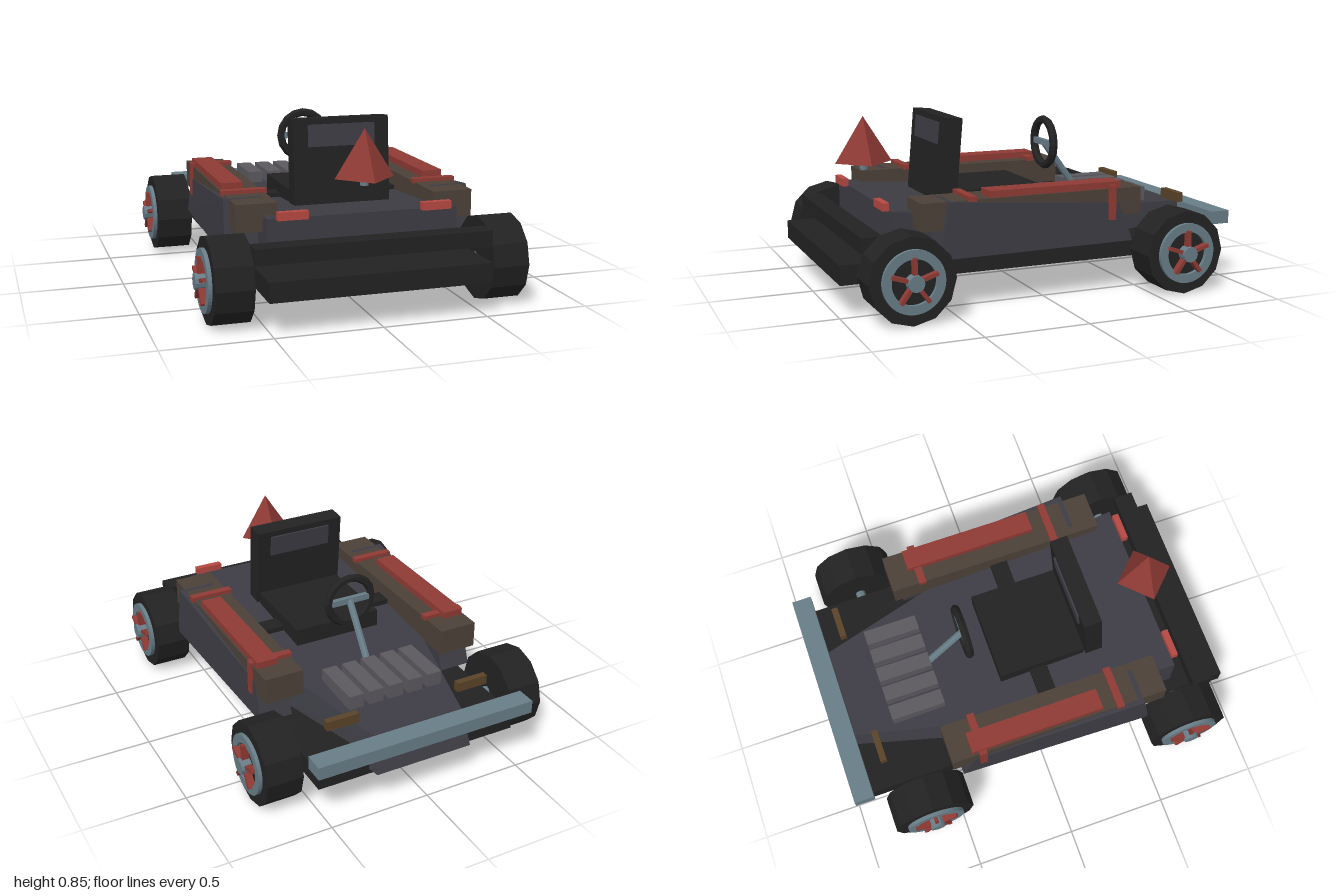
import * as THREE from 'three';
import { ConvexGeometry } from 'three/addons/geometries/ConvexGeometry.js';

const mat = (name, color) => {
  const m = new THREE.MeshStandardMaterial({ color, flatShading: true });
  m.name = name;
  return m;
};

export function createModel() {
  const black = mat('black rubber', 0x222222);
  const slate = mat('dark slate', 0x3d3c44);
  const brown = mat('brown', 0x4c4138);
  const amber = mat('amber brown', 0x5a4328);
  const red = mat('dull red', 0x8f3a34);
  const lamp = mat('lamp red', 0xb54842);
  const steel = mat('blue steel', 0x687d88);
  const vent = mat('vent grey', 0x5b595f);

  const model = new THREE.Group();
  model.name = 'buggy';

  const add = (name, geometry, material, parent = model) => {
    const mesh = new THREE.Mesh(geometry, material);
    mesh.name = name;
    parent.add(mesh);
    return mesh;
  };
  // Box given by its limits on each axis
  const box = (name, material, [x0, x1], [y0, y1], [z0, z1], parent = model) => {
    const mesh = add(name, new THREE.BoxGeometry(x1 - x0, y1 - y0, z1 - z0), material, parent);
    mesh.position.set((x0 + x1) / 2, (y0 + y1) / 2, (z0 + z1) / 2);
    return mesh;
  };
  // Box on one side of the car, mirrored by s
  const sideBox = (name, material, s, x, y, z) =>
    box(name, material, s > 0 ? x : [-x[1], -x[0]], y, z);
  const hull = (name, material, points) =>
    add(name, new ConvexGeometry(points.map(p => new THREE.Vector3(...p))), material);

  // Floor pan and bumpers
  box('floor', black, [-0.52, 0.52], [0.157, 0.25], [-0.91, 1]);
  box('darkBumper', black, [-0.56, 0.56], [0.3, 0.375], [0.81, 0.91]);
  box('steelBumper', steel, [-0.565, 0.565], [0.285, 0.35], [-1, -0.9]);

  // Central deck tapering into the sloped nose
  const deckPoints = [];
  for (const s of [1, -1]) {
    deckPoints.push(
      [s * 0.455, 0.46, 0.735], [s * 0.38, 0.389, -0.32], [s * 0.235, 0.35, -0.895],
      [s * 0.46, 0.25, 0.735], [s * 0.41, 0.25, -0.32], [s * 0.25, 0.18, -0.965]);
  }
  hull('deck', slate, deckPoints);

  // Side pods, luggage boxes, straps and lamps
  for (const s of [1, -1]) {
    const pod = [];
    for (const [y, z, outer] of [[0.25, 0.555, 0.61], [0.512, 0.51, 0.603], [0.44, -0.37, 0.577], [0.25, -0.44, 0.582]]) {
      pod.push([s * 0.42, y, z], [s * outer, y, z]);
    }
    hull('sidePod', slate, pod);
    sideBox('sideBox', brown, s, [0.38, 0.575], [0.38, 0.51], [-0.485, 0.635]);
    sideBox('rolledMat', red, s, [0.46, 0.565], [0.505, 0.543], [-0.38, 0.3]);
    for (const z of [-0.328, 0.39]) {
      sideBox('strap', red, s, [0.37, 0.587], [0.505, 0.528], [z - 0.019, z + 0.019]);
      sideBox('strapEnd', red, s, [0.572, 0.587], [0.36, 0.528], [z - 0.019, z + 0.019]);
    }
    sideBox('deckLamp', lamp, s, [0.273, 0.415], [0.455, 0.493], [0.733, 0.765]);
    sideBox('noseLamp', amber, s, [0.265, 0.427], [0.383, 0.43], [-0.815, -0.783]);
  }

  // Hood vents
  for (let i = -2; i <= 2; i++) {
    const x = i * 0.105;
    box('vent', vent, [x - 0.038, x + 0.038], [0.37, 0.44], [-0.695, -0.42]);
  }

  // Seat with a leaning back and a pad near the top
  box('seatBar', black, [-0.4, 0.4], [0.39, 0.44], [0.04, 0.13]);
  box('seatCushion', black, [-0.228, 0.228], [0.39, 0.49], [-0.115, 0.33]);
  const back = new THREE.Group();
  back.name = 'seatBack';
  back.position.set(0, 0.42, 0.385);
  back.rotation.x = -0.085;
  model.add(back);
  box('backrest', black, [-0.238, 0.238], [0, 0.425], [-0.045, 0.045], back);
  box('headPad', slate, [-0.165, 0.165], [0.29, 0.395], [-0.054, 0.054], back);

  // Steering wheel, crossbar and column
  const wheelRing = add('steeringWheel', new THREE.TorusGeometry(0.118, 0.021, 6, 16), black);
  wheelRing.position.set(0, 0.665, -0.235);
  box('steeringCrossbar', steel, [-0.11, 0.11], [0.65, 0.68], [-0.247, -0.223]);
  const from = new THREE.Vector3(0, 0.665, -0.235), to = new THREE.Vector3(0, 0.4, -0.43);
  const column = add('steeringColumn', new THREE.CylinderGeometry(0.018, 0.018, from.distanceTo(to), 8), steel);
  column.position.copy(from).add(to).multiplyScalar(0.5);
  column.quaternion.setFromUnitVectors(new THREE.Vector3(0, 1, 0), from.clone().sub(to).normalize());

  // Four-sided cone on a short stub
  const cone = add('cone', new THREE.ConeGeometry(0.142, 0.225, 4), red);
  cone.position.set(0, 0.733, 0.73);
  const stub = add('coneStub', new THREE.CylinderGeometry(0.02, 0.02, 0.06, 8), steel);
  stub.position.set(0, 0.615, 0.73);

  // Wheels: local y is the outward axle direction
  const ringShape = new THREE.Shape().absarc(0, 0, 0.146, 0, Math.PI * 2, false);
  ringShape.holes.push(new THREE.Path().absarc(0, 0, 0.104, 0, Math.PI * 2, true));
  const ringGeometry = new THREE.ExtrudeGeometry(ringShape, { depth: 0.025, bevelEnabled: false, curveSegments: 24 });
  ringGeometry.rotateX(-Math.PI / 2);
  for (const z of [0.73, -0.645]) {
    const axle = add('axle', new THREE.CylinderGeometry(0.025, 0.025, 1.3, 8), steel);
    axle.rotation.z = Math.PI / 2;
    axle.position.set(0, 0.205, z);
    for (const s of [1, -1]) {
      const wheel = new THREE.Group();
      wheel.name = 'wheel';
      wheel.position.set(s * 0.65, 0.203, z);
      wheel.rotation.z = -s * Math.PI / 2;
      model.add(wheel);
      add('tyre', new THREE.CylinderGeometry(0.203, 0.203, 0.177, 12), black, wheel);
      add('rim', ringGeometry, steel, wheel).position.y = 0.082;
      const hub = add('hub', new THREE.CylinderGeometry(0.038, 0.038, 0.055, 12), steel, wheel);
      hub.position.y = 0.112;
      for (let i = 0; i < 5; i++) {
        const spoke = new THREE.Group();
        spoke.name = 'spoke';
        // First spoke points straight up
        spoke.rotation.y = i * Math.PI * 2 / 5 + (s > 0 ? Math.PI : 0);
        wheel.add(spoke);
        box('spokeBar', red, [0.03, 0.112], [0.09, 0.125], [-0.009, 0.009], spoke);
      }
    }
  }
  return model;
}
